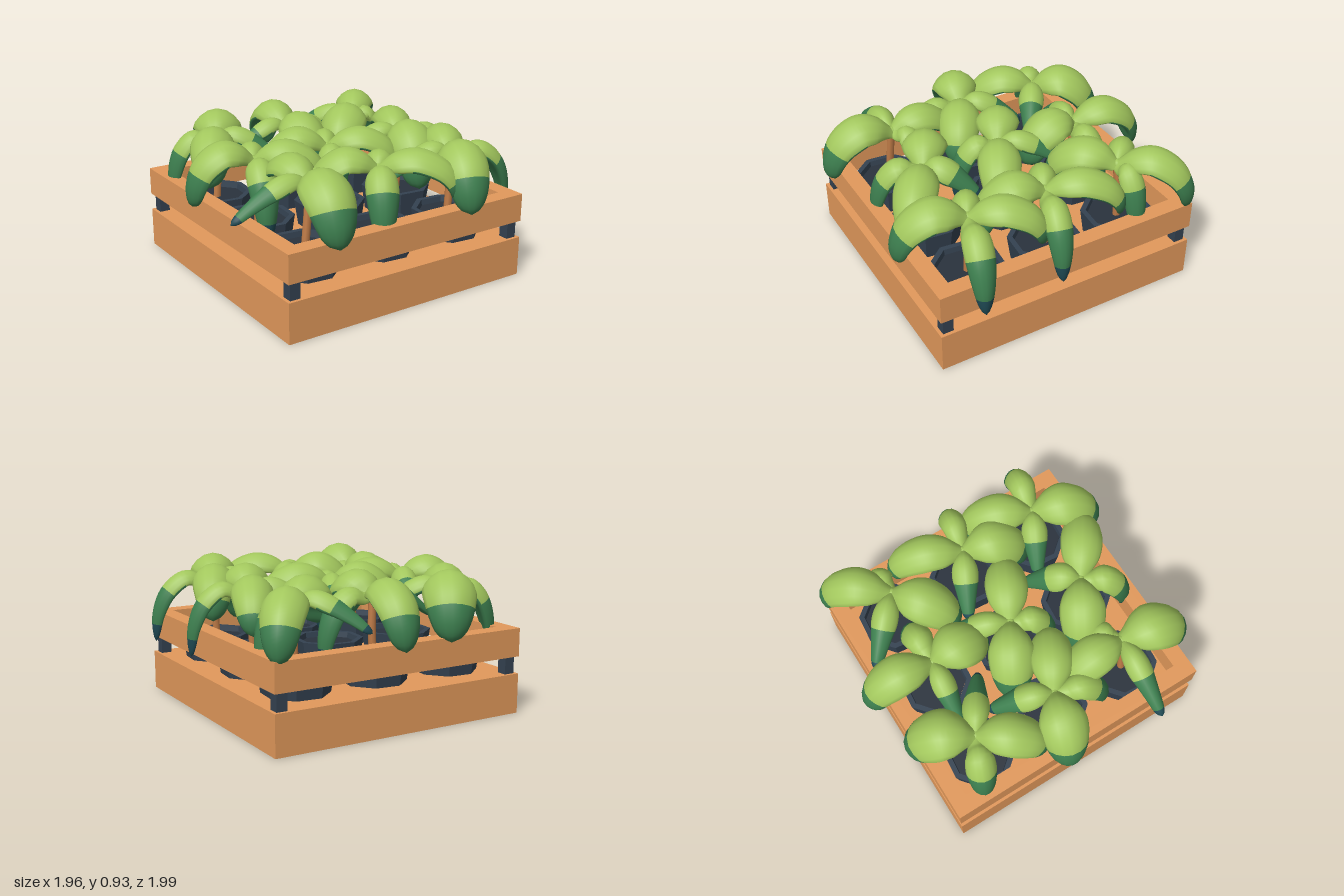
import * as THREE from 'three';

const mat = (name, color, extra = {}) => {
  const m = new THREE.MeshStandardMaterial({ color, ...extra });
  m.name = name;
  return m;
};

// Leaf styles: centre-line apex and tip heights, drop of the centre line along its reach,
// half-width profile at even steps, thickness ratio, dark height, start of the tip colour
const ARCH = [[0.25, 0.05], [0.5, 0], [0.78, 0.22], [0.94, 0.58], [0.98, 1]];
const SLOPE = [[0.25, 0], [0.5, 0.2], [0.75, 0.55], [0.92, 0.84], [1, 1]];
const BROAD = [0.35, 0.85, 1, 0.94, 0.76, 0.48];
const STYLES = {
  big: { apex: 0.855, tip: 0.52, drop: ARCH, profile: BROAD, thick: 0.43, dark: 0.735, tipAt: 2 },
  wide: { apex: 0.85, tip: 0.58, drop: ARCH, profile: BROAD, thick: 0.43, dark: 0.72, tipAt: 2 },
  narrow: { apex: 0.815, tip: 0.62, drop: SLOPE, profile: [0.4, 0.85, 1, 0.8, 0.58, 0.4], thick: 0.6, dark: 0.772, tipAt: 0.88 },
  small: { apex: 0.795, tip: 0.38, drop: ARCH, profile: [0.4, 0.85, 1, 0.9, 0.66, 0.34], thick: 0.55, dark: 0.715, tipAt: 0.83 },
};

// Plants: hub x, z, then leaves as [style, tip x, tip z, width]
const PLANTS = [
  [-0.5, -0.54, ['big', -0.29, -0.89, 0.33], ['narrow', -0.13, -0.3, 0.17], ['small', -0.78, -0.65, 0.19], ['wide', -0.74, -0.18, 0.28]],
  [0.03, -0.52, ['big', 0.09, -0.975, 0.28], ['narrow', -0.38, -0.56, 0.15], ['small', 0.38, -0.51, 0.19], ['wide', 0.04, -0.16, 0.32]],
  [0.56, -0.5, ['big', 0.86, -0.86, 0.27], ['narrow', 0.23, -0.83, 0.17], ['wide', 0.24, -0.22, 0.31], ['small', 0.8, -0.52, 0.17]],
  [-0.53, 0.0, ['big', -0.91, -0.11, 0.3], ['narrow', -0.37, -0.37, 0.18], ['small', -0.63, 0.34, 0.19], ['wide', -0.15, 0.22, 0.27]],
  [0.0, 0.02, ['big', -0.36, -0.18, 0.29], ['narrow', 0.2, -0.38, 0.17], ['small', -0.1, 0.28, 0.19], ['wide', 0.41, 0.23, 0.27]],
  [0.57, 0.03, ['wide', 0.77, -0.41, 0.26], ['narrow', 0.2, -0.16, 0.17], ['small', 0.95, 0.12, 0.17], ['big', 0.45, 0.42, 0.31]],
  [-0.47, 0.54, ['big', -0.54, 0.965, 0.32], ['narrow', -0.98, 0.52, 0.16], ['wide', -0.47, 0.12, 0.27], ['small', -0.27, 0.4, 0.18]],
  [0.01, 0.55, ['big', -0.35, 0.35, 0.29], ['narrow', 0.24, 0.28, 0.2], ['small', -0.14, 0.83, 0.2], ['wide', 0.41, 0.84, 0.27]],
  [0.57, 0.55, ['big', 0.42, 0.955, 0.31], ['narrow', 0.22, 0.38, 0.17], ['small', 0.97, 0.65, 0.18], ['wide', 0.78, 0.14, 0.27]],
];

// Fleshy arching leaf swept along a drooping curve; groups: light, dark, tip
function leafGeometry(hx, hz, [style, tx, tz, width]) {
  const s = STYLES[style];
  const dir = new THREE.Vector3(tx - hx, 0, tz - hz);
  const length = dir.length();
  dir.normalize();
  const up = new THREE.Vector3(0, 1, 0);
  const side = new THREE.Vector3().crossVectors(dir, up);
  const curve = new THREE.SplineCurve([
    new THREE.Vector2(0, 0.775),
    ...s.drop.map(([d, f]) => new THREE.Vector2(d * length, THREE.MathUtils.lerp(s.apex, s.tip, f))),
  ]);
  const widths = new THREE.SplineCurve(s.profile.map((w, i) => new THREE.Vector2(i, w)));

  const rings = 30, seg = 16;
  const positions = [], faces = [[], [], []];
  for (let i = 0; i <= rings; i++) {
    const t = i / rings;
    const c = curve.getPointAt(t), tan = curve.getTangentAt(t);
    const cap = t > 0.88 ? Math.sqrt(Math.max(0, 1 - ((t - 0.88) / 0.12) ** 2)) : 1;
    const half = width / 2 * widths.getPoint(t).y * cap;
    for (let j = 0; j < seg; j++) {
      const a = j / seg * Math.PI * 2, ca = Math.cos(a), sa = Math.sin(a);
      const n = half * (sa * s.thick - 0.36 * ca * ca);
      const p = new THREE.Vector3(hx, 0, hz)
        .addScaledVector(dir, c.x - tan.y * n)
        .addScaledVector(up, c.y + tan.x * n)
        .addScaledVector(side, half * ca);
      positions.push(p.x, p.y, p.z);
    }
    if (i === rings) break;
    for (let j = 0; j < seg; j++) {
      const under = j >= seg / 2 && t > 0.3;
      const level = t > s.tipAt ? 2 : under || (t > 0.3 && c.y < s.dark) ? 1 : 0;
      const k = (j + 1) % seg, a = i * seg + j, b = i * seg + k;
      faces[level].push(a, a + seg, b, b, a + seg, b + seg);
    }
  }
  const g = new THREE.BufferGeometry();
  g.setAttribute('position', new THREE.Float32BufferAttribute(positions, 3));
  g.setIndex(faces.flat());
  let start = 0;
  faces.forEach((f, m) => {
    if (f.length) g.addGroup(start, f.length, m);
    start += f.length;
  });
  g.computeVertexNormals();
  return g;
}

export function createModel() {
  const root = new THREE.Group();
  const wood = mat('wood', 0xe2995b);
  const slate = mat('slate', 0x344251, { flatShading: true });
  const soilMat = mat('soil', 0x2a323d);
  const bark = mat('bark', 0xc07c48);
  const leafMats = [mat('light green', 0xa2c75d), mat('dark green', 0x3d7f4f), mat('leaf tip', 0x1f4a54)];

  const add = (parent, name, geometry, material, x = 0, y = 0, z = 0) => {
    const m = new THREE.Mesh(geometry, material);
    m.name = name;
    m.position.set(x, y, z);
    parent.add(m);
    return m;
  };

  // Crate: solid base, open upper frame and corner posts
  const crate = new THREE.Group();
  crate.name = 'crate';
  crate.position.set(0.022, 0, 0.016);
  root.add(crate);
  const W = 0.86, D = 0.88, wall = 0.105;
  add(crate, 'base', new THREE.BoxGeometry(2 * W, 0.255, 2 * D), wood, 0, 0.1275, 0);
  const rect = (P, w, d) => new P([[-w, -d], [w, -d], [w, d], [-w, d]].map(([x, z]) => new THREE.Vector2(x, z)));
  const outline = rect(THREE.Shape, W, D);
  outline.holes.push(rect(THREE.Path, W - wall, D - wall));
  const frame = new THREE.ExtrudeGeometry(outline, { depth: 0.18, bevelEnabled: false });
  frame.rotateX(-Math.PI / 2);
  add(crate, 'upperFrame', frame, wood, 0, 0.365, 0);
  for (const sx of [-1, 1]) for (const sz of [-1, 1]) {
    add(crate, 'cornerPost', new THREE.BoxGeometry(0.068, 0.13, 0.068), slate, sx * (W - 0.055), 0.31, sz * (D - 0.055));
  }

  // Pots and plants in a three by three grid
  const potGeometry = new THREE.LatheGeometry(
    [[0, 0.24], [0.205, 0.24], [0.232, 0.42], [0.197, 0.42], [0.187, 0.36]].map(([r, y]) => new THREE.Vector2(r, y)), 8);
  PLANTS.forEach(([hx, hz, ...leaves], i) => {
    const plant = new THREE.Group();
    plant.name = 'pottedPlant';
    root.add(plant);
    const px = 0.025 + (i % 3 - 1) * 0.54, pz = 0.015 + (Math.floor(i / 3) - 1) * 0.54;
    add(plant, 'pot', potGeometry, slate, px, 0, pz).rotation.y = 0.3;
    const soil = add(plant, 'soil', new THREE.CylinderGeometry(0.19, 0.182, 0.02, 8), soilMat, px, 0.375, pz);
    soil.rotation.y = 0.3;
    const path = new THREE.CatmullRomCurve3([
      new THREE.Vector3(px, 0.37, pz),
      new THREE.Vector3(px + (hx - px) * 0.3 + 0.01, 0.58, pz + (hz - pz) * 0.3),
      new THREE.Vector3(hx, 0.78, hz),
    ]);
    add(plant, 'stem', new THREE.TubeGeometry(path, 8, 0.025, 8), bark);
    add(plant, 'leafHub', new THREE.SphereGeometry(0.036, 12, 8), leafMats[0], hx, 0.775, hz);
    for (const leaf of leaves) add(plant, 'leaf', leafGeometry(hx, hz, leaf), leafMats);
  });
  return root;
}
